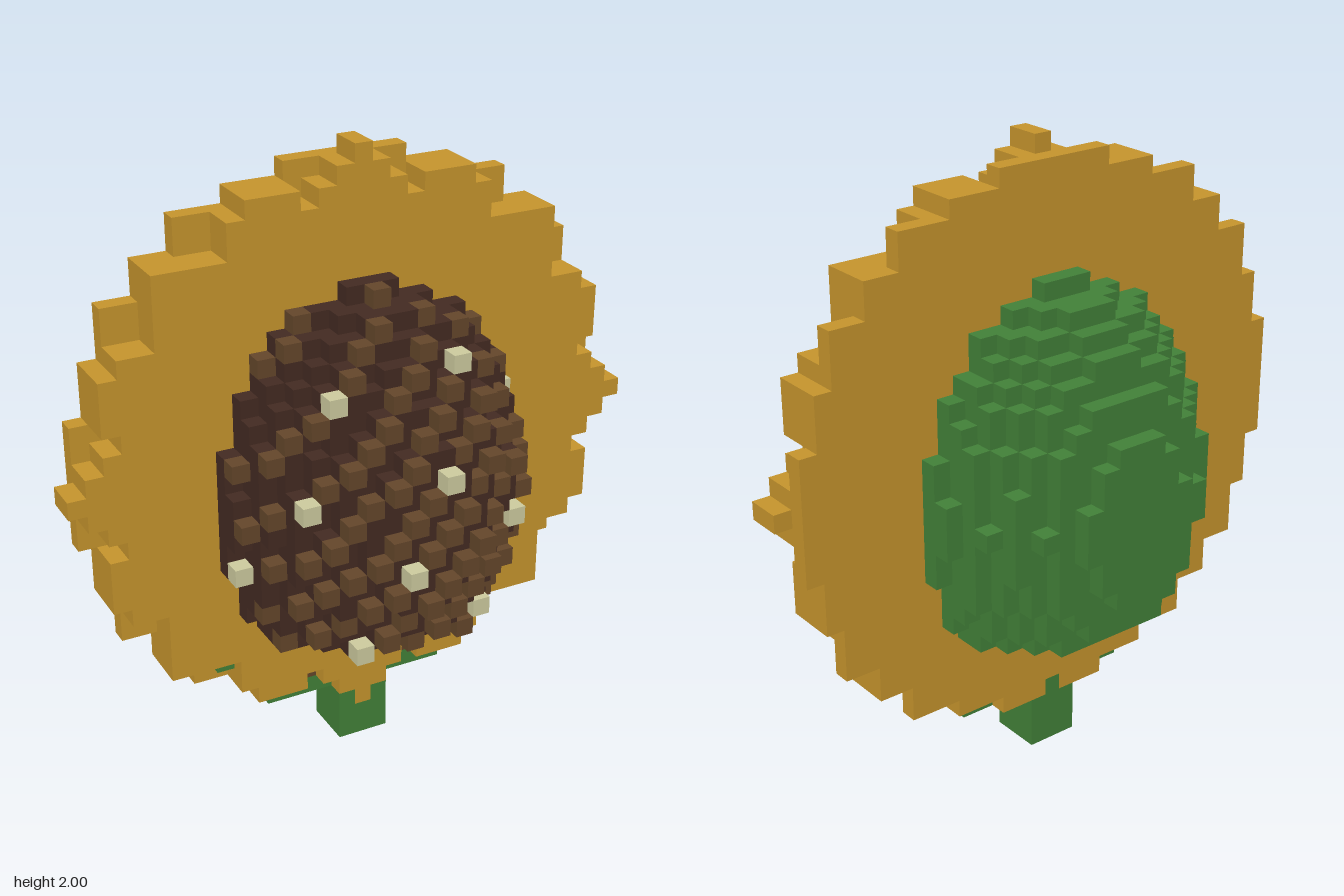
import * as THREE from 'three';
import { mergeGeometries } from 'three/addons/utils/BufferGeometryUtils.js';

const U = 2 / 35; // voxel size

const material = (name, color) => {
  const m = new THREE.MeshStandardMaterial({ color });
  m.name = name;
  return m;
};

// Box covering cells x0..x1, rows y0..y1, layers z0..z1 (inclusive)
function cells(x0, x1, y0, y1, z0, z1) {
  const g = new THREE.BoxGeometry((x1 - x0 + 1) * U, (y1 - y0 + 1) * U, (z1 - z0 + 1) * U);
  return g.translate(((x0 + x1) / 2) * U, ((y0 + y1 + 1) / 2) * U, ((z0 + z1 + 1) / 2) * U);
}

// One layer of voxels, joined into horizontal runs
function layer(z, filled) {
  const out = [];
  for (let y = 2; y <= 34; y++) {
    let start = null;
    for (let x = -16; x <= 17; x++) {
      const on = x <= 16 && filled(x, y);
      if (on && start === null) start = x;
      if (!on && start !== null) {
        out.push(cells(start, x - 1, y, y, z, z));
        start = null;
      }
    }
  }
  return out;
}

// Half width of the petal disc by distance from its centre row
const HALF = [16, 15, 15, 15, 14, 14, 14, 13, 13, 13, 11, 11, 9, 9, 6, 3, 0];
const CENTRE = 18;
const inDisc = (x, y) => Math.abs(x) <= HALF[Math.abs(y - CENTRE)];

// Gaps between petals, the same in every octant
function inGap(x, y) {
  const p = Math.abs(x), q = Math.abs(y - CENTRE);
  const a = Math.max(p, q), b = Math.min(p, q);
  return ((a === 12 || a === 13) && (b === 8 || b === 9)) ||
    (a === 15 && (b === 2 || b === 3)) || (a === 14 && b === 3);
}

// Is the cell inside the head's ellipsoid?
function inHead(x, y, k) {
  return (x / 8.8) ** 2 + ((y - 16) / 11.6) ** 2 + ((k + 0.5) / 9.15) ** 2 <= 1;
}

// Last layer of the head, counted outward, in column x, y
function reach(x, y) {
  let k = 0;
  while (inHead(x, y, k + 1)) k++;
  return k;
}

export function createModel() {
  const group = new THREE.Group();
  const add = (name, geometries, mat) => {
    const mesh = new THREE.Mesh(mergeGeometries(geometries), mat);
    mesh.name = name;
    group.add(mesh);
  };
  const gold = material('petal gold', 0xc8962d);
  const green = material('leaf green', 0x438239);
  const dark = material('dark brown', 0x442b22);
  const light = material('light brown', 0x65472b);
  const cream = material('seed cream', 0xcfcda0);

  // Petals: notched front and middle layers, fuller back layer
  const petal = (x, y) => inDisc(x, y) && !inGap(x, y);
  add('frontPetals', layer(0, petal), gold);
  add('middlePetals', layer(-1, petal), gold);
  add('backPetals', layer(-2, (x, y) =>
    inDisc(x, y) && Math.max(Math.abs(x), Math.abs(y - CENTRE)) < 16 && !(x === 0 && y === 3)), gold);

  // Seed head: recessed dark base with raised diagonal rows of kernels
  const paleAt = new Set(['-4,23', '3,24', '8,20', '1,19', '-6,18', '6,15', '-1,14', '-8,13', '4,10', '-3,9']);
  const base = [], kernels = [], pale = [], back = [];
  for (let y = 9; y <= 27; y++) {
    for (let x = -8; x <= 8; x++) {
      const top = reach(x, y);
      if (top > 1) base.push(cells(x, x, y, y, 1, top - 1));
      if (top >= 1 && (x - y) % 3 === 0) {
        (paleAt.has(`${x},${y}`) ? pale : kernels).push(cells(x, x, y, y, top, top));
      }
      // Green back of the head
      if (top >= 2) back.push(cells(x, x, y, y, -top - 1, -3));
    }
  }
  add('seedHead', base, dark);
  add('kernels', kernels, light);
  add('paleSeeds', pale, cream);
  add('headBack', back, green);

  // Stem, fitted round the lowest petal tip
  add('stem', [
    cells(-1, 1, 0, 1, -2, 0),
    cells(-1, -1, 2, 2, -2, 0),
    cells(1, 1, 2, 2, -2, 0),
    cells(0, 0, 2, 3, -2, -2),
  ], green);

  // Sepals and small spots showing between the lower petals
  const sepals = [], spots = [];
  for (const s of [-1, 1]) {
    sepals.push(s > 0 ? cells(2, 5, 3, 3, -1, -1) : cells(-5, -2, 3, 3, -1, -1));
    sepals.push(cells(8 * s, 8 * s, 6, 6, -1, -1));
    spots.push(cells(3 * s, 3 * s, 4, 4, -1, -1));
  }
  add('sepals', sepals, green);
  add('brownSpots', spots, light);

  return group;
}
